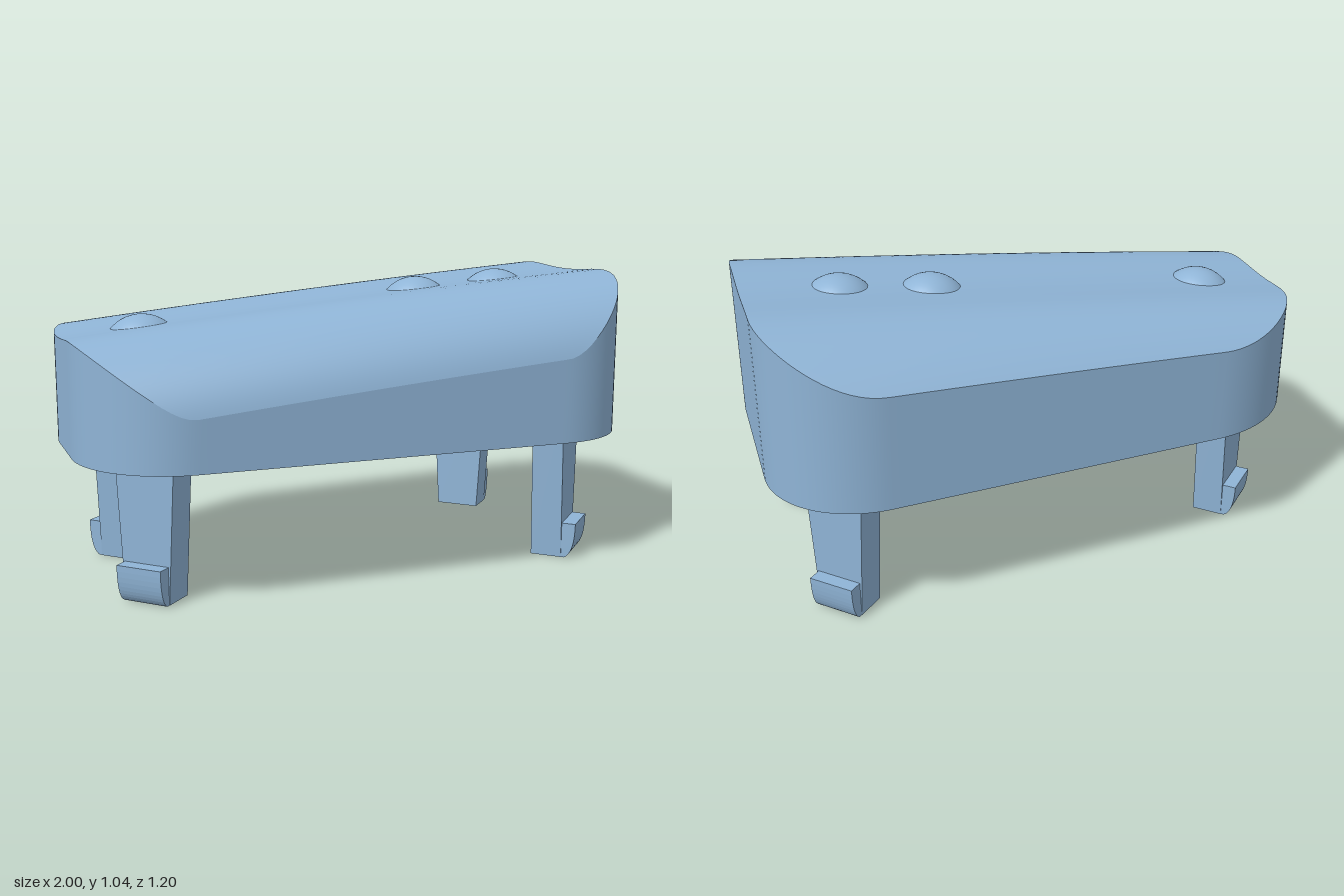
import * as THREE from 'three';

const RIM = 0.465, WALL = 0.08;

// Height of the sloped, rounded top at a plan position
function topHeight(x, z) {
  const back = z < 0;
  const d = back ? -z * (1 + 0.08 * (0.66 - x)) : z;
  const u = Math.min(1, Math.max(0, (d - 0.25) / (back ? 0.5 : 0.36)));
  const fall = (back ? 0.52 : 0.33) * (1 - Math.sqrt(1 - u * u));
  const dip = d < 0.25 ? 0.012 * (1 - (d / 0.25) ** 2) ** 2 : 0;
  return 1.042 - fall - dip + 0.0925 * (x - 1) + 0.008 * (1 - x * x);
}

// Plan outline as [x, z] points, running along the front towards +x
function makeOutline() {
  const s = new THREE.Shape();
  s.moveTo(-0.66, 0.6);
  const corner = (cx, cz, ex, ez) => {
    const p = s.currentPoint, k = 0.56;
    s.bezierCurveTo(p.x + (cx - p.x) * k, p.y + (cz - p.y) * k,
      ex + (cx - ex) * k, ez + (cz - ez) * k, ex, ez);
  };
  s.lineTo(0.66, 0.6);
  corner(1, 0.6, 1, 0.27);
  s.lineTo(1, -0.27);
  corner(1, -0.62, 0.64, -0.6);
  s.lineTo(-0.57, -0.495);
  corner(-1, -0.46, -1, -0.04);
  s.lineTo(-1, 0.24);
  corner(-1, 0.6, -0.66, 0.6);
  return s.getSpacedPoints(200).slice(0, -1).map((p) => [p.x, p.y]);
}

// Outline moved inwards by a constant distance
function inset(loop, d) {
  const n = loop.length;
  return loop.map(([x, z], i) => {
    const a = loop[(i + n - 1) % n], b = loop[(i + 1) % n];
    const tx = b[0] - a[0], tz = b[1] - a[1], l = Math.hypot(tx, tz);
    return [x + (tz / l) * d, z - (tx / l) * d];
  });
}

// Closed-loop surface through rows of [x, y, z] points
function loft(rows) {
  const n = rows[0].length, index = [];
  for (let r = 0; r < rows.length - 1; r++) {
    for (let j = 0; j < n; j++) {
      const a = r * n + j, b = r * n + (j + 1) % n;
      index.push(a, b, b + n, a, b + n, a + n);
    }
  }
  const g = new THREE.BufferGeometry();
  g.setAttribute('position', new THREE.Float32BufferAttribute(rows.flat(2), 3));
  g.setIndex(index);
  g.computeVertexNormals();
  return g;
}

export function createModel() {
  const model = new THREE.Group();
  const blue = new THREE.MeshStandardMaterial({ color: 0x8fb4d6 });
  blue.name = 'soft blue';
  const add = (parent, name, geometry) => {
    const m = new THREE.Mesh(geometry, blue);
    m.name = name;
    parent.add(m);
    return m;
  };

  // Hollow cap
  const outer = makeOutline(), inner = inset(outer, WALL);
  const flat = (loop, y) => loop.map(([x, z]) => [x, y, z]);
  const domed = (loop, t, drop) => loop.map(([x, z]) => [x * t, topHeight(x * t, z * t) - drop, z * t]);
  const steps = Array.from({ length: 31 }, (_, i) => 1 - (i / 30) ** 1.4);
  const cap = new THREE.Group();
  cap.name = 'cap';
  model.add(cap);
  add(cap, 'outerWall', loft([flat(outer, RIM), domed(outer, 1, 0)]));
  add(cap, 'topSurface', loft(steps.map((t) => domed(outer, t, 0))));
  add(cap, 'innerWall', loft([domed(inner, 1, 0.09), flat(inner, RIM)]));
  add(cap, 'bottomRim', loft([flat(inner, RIM), flat(outer, RIM)]));
  add(cap, 'ceiling', loft([...steps].reverse().map((t) => domed(inner, t, 0.09))));

  // Central post under the cap
  add(model, 'centrePost', new THREE.CylinderGeometry(0.2, 0.2, 0.42, 48)).position.set(0.01, 0.68, 0.03);

  // Balls: three break through the top, the rest sit inside
  const ball = new THREE.SphereGeometry(0.145, 32, 24);
  const balls = [[-0.71, 0.77, 0.025], [0.34, 0.872, 0.015], [0.66, 0.895, 0.045]];
  for (const x of [0.64, 0.365, 0.07, -0.26, -0.57]) balls.push([x, 0.737 + 0.066 * x, 0.37]);
  for (const x of [0.6, 0.3, 0, -0.3, -0.59]) balls.push([x, 0.75 + 0.066 * x, -0.25]);
  for (const p of balls) add(model, 'ball', ball).position.set(...p);

  // Tapered clip legs with a rounded hook facing outwards
  const legGeo = new THREE.BoxGeometry(0.17, 0.6, 0.113).translate(0, 0.3, 0);
  const pos = legGeo.attributes.position;
  for (let i = 0; i < pos.count; i++) {
    if (pos.getY(i) > 0.3) pos.setX(i, pos.getX(i) * 1.4);
  }
  legGeo.computeVertexNormals();
  const hookShape = new THREE.Shape();
  hookShape.moveTo(-0.02, 0);
  hookShape.lineTo(0.012, 0);
  hookShape.quadraticCurveTo(0.05, 0.02, 0.05, 0.13);
  hookShape.lineTo(-0.02, 0.13);
  const hookGeo = new THREE.ExtrudeGeometry(hookShape, { depth: 0.168, bevelEnabled: false, curveSegments: 10 })
    .rotateY(-Math.PI / 2).translate(0.084, 0, 0.0565);
  for (const [x, z] of [[0.76, 0.36], [0.76, -0.39], [-0.755, 0.36], [-0.745, -0.185]]) {
    const leg = new THREE.Group();
    leg.name = 'clipLeg';
    add(leg, 'legBar', legGeo);
    add(leg, 'legHook', hookGeo);
    leg.position.set(x, 0, z);
    leg.rotation.y = Math.atan2(Math.sign(x), Math.sign(z));
    model.add(leg);
  }
  return model;
}
